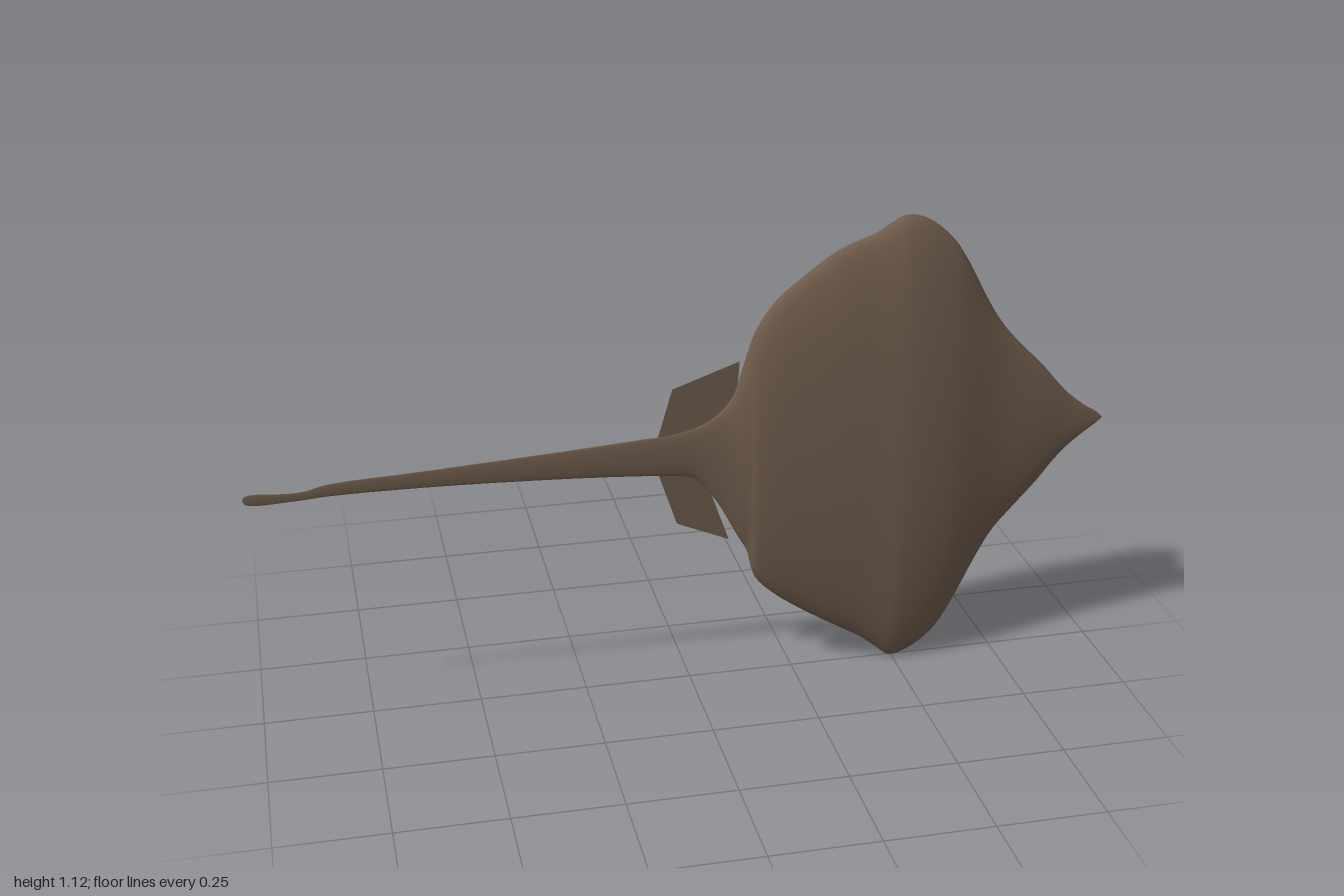
import * as THREE from 'three';

// Body stations from tail tip to snout: x, upper edge, lower edge
const STATIONS = [
  [-1, .568, .568], [-.995, .577, .558], [-.97, .58, .553], [-.9, .575, .555], [-.86, .578, .557],
  [-.82, .588, .56], [-.6, .6, .56], [-.3, .617, .55], [-.1, .63, .538], [-.05, .633, .533],
  [.01, .645, .522], [.065, .675, .455], [.1, .717, .39], [.12, .775, .353], [.137, .83, .322],
  [.155, .877, .255], [.2, .94, .205], [.26, .99, .16], [.33, 1.04, .115], [.38, 1.063, .085],
  [.42, 1.077, .06], [.46, 1.1, .028], [.495, 1.117, .002], [.54, 1.107, .014], [.6, 1.06, .06],
  [.64, 1.005, .122], [.7, .895, .245], [.74, .835, .315], [.78, .79, .362], [.84, .73, .428],
  [.9, .662, .502], [.95, .62, .545], [.985, .598, .57], [1, .583, .583],
];
const THICKNESS = 0.138; // depth of each oval section relative to its height

// Smooth loft of oval sections along x
function bodyGeometry(subdivisions = 4, sides = 64) {
  const rail = new THREE.CatmullRomCurve3(
    STATIONS.map(([x, top, bottom]) => new THREE.Vector3(x, top, bottom)), false, 'centripetal');
  const rings = (STATIONS.length - 1) * subdivisions;
  const positions = [], index = [];
  for (let i = 0; i <= rings; i++) {
    const s = rail.getPoint(i / rings);
    const middle = (s.y + s.z) / 2, half = Math.max((s.y - s.z) / 2, 0.0005);
    for (let j = 0; j < sides; j++) {
      const a = j / sides * Math.PI * 2;
      positions.push(s.x, middle + half * Math.sin(a), half * THICKNESS * Math.cos(a));
      if (i === rings) continue;
      const p = i * sides + j, q = i * sides + (j + 1) % sides;
      index.push(p, p + sides, q, q, p + sides, q + sides);
    }
  }
  const geometry = new THREE.BufferGeometry();
  geometry.setAttribute('position', new THREE.Float32BufferAttribute(positions, 3));
  geometry.setIndex(index);
  geometry.computeVertexNormals();
  return geometry;
}

export function createModel() {
  const group = new THREE.Group();
  group.name = 'stingray';
  const skin = new THREE.MeshStandardMaterial({ color: 0x6e5b4b });
  skin.name = 'brown skin';
  const finSkin = new THREE.MeshStandardMaterial({ color: 0x6e5b4b, side: THREE.DoubleSide });
  finSkin.name = 'brown fin skin';

  const add = (name, geometry, material) => {
    const mesh = new THREE.Mesh(geometry, material);
    mesh.name = name;
    group.add(mesh);
  };
  add('bodyAndTail', bodyGeometry(), skin);

  // Flat pelvic fins either side of the tail root
  const fin = (points) => new THREE.ShapeGeometry(
    new THREE.Shape(points.map(([x, y]) => new THREE.Vector2(x, y))));
  add('upperPelvicFin', fin([[-.075, .625], [-.04, .745], [.115, .8], [.11, .74], [.06, .62]]), finSkin);
  add('lowerPelvicFin', fin([[-.075, .545], [-.03, .41], [.093, .357], [.055, .465], [.03, .54]]), finSkin);
  return group;
}
